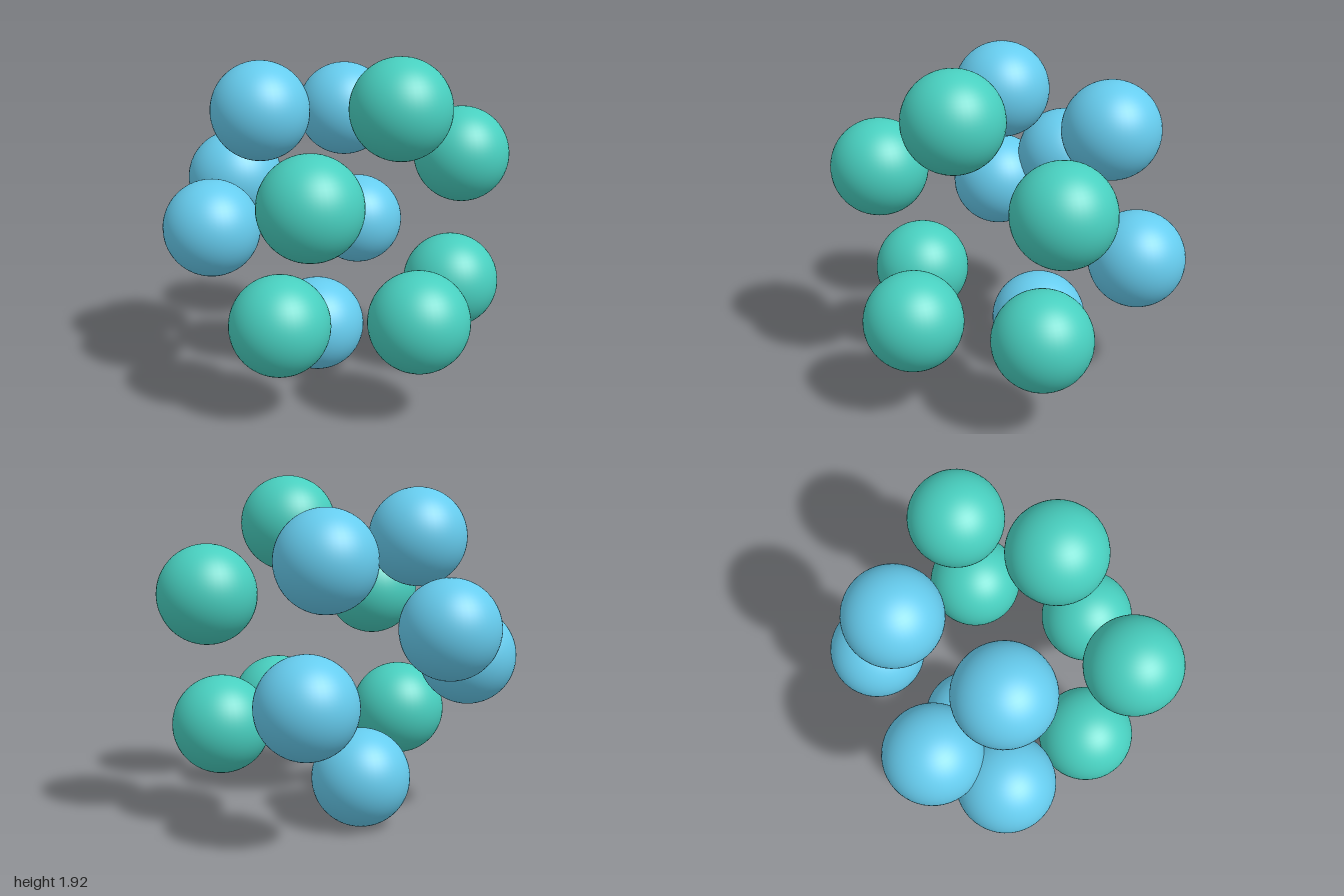
import * as THREE from 'three';

const RADIUS = 0.273;

// Sphere centres [x, y, z] of the two interlocking clusters
const clusters = {
  blueSphere: {
    color: 0x66ccee,
    centres: [
      [-0.40, 1.59, 0.085],
      [-0.04, 1.495, -0.56],
      [-0.635, 1.125, -0.257],
      [-0.675, 0.93, 0.142],
      [0.02, 0.767, -0.727],
      [-0.135, 0.275, -0.167],
    ],
  },
  greenSphere: {
    color: 0x48cfbf,
    centres: [
      [0.385, 1.65, 0.23],
      [0.672, 1.29, -0.365],
      [-0.005, 1.235, 0.722],
      [-0.208, 0.53, 0.54],
      [0.52, 0.56, 0.443],
      [0.636, 0.557, -0.265],
    ],
  },
};

export function createModel() {
  const model = new THREE.Group();
  model.name = 'sphereCluster';
  const geometry = new THREE.SphereGeometry(RADIUS, 48, 32);

  // One group per colour, with numbered spheres
  for (const [name, { color, centres }] of Object.entries(clusters)) {
    const group = new THREE.Group();
    group.name = name + 's';
    const material = new THREE.MeshStandardMaterial({ color });
    centres.forEach((centre, i) => {
      const sphere = new THREE.Mesh(geometry, material);
      sphere.name = name + (i + 1);
      sphere.position.set(...centre);
      group.add(sphere);
    });
    model.add(group);
  }
  return model;
}
